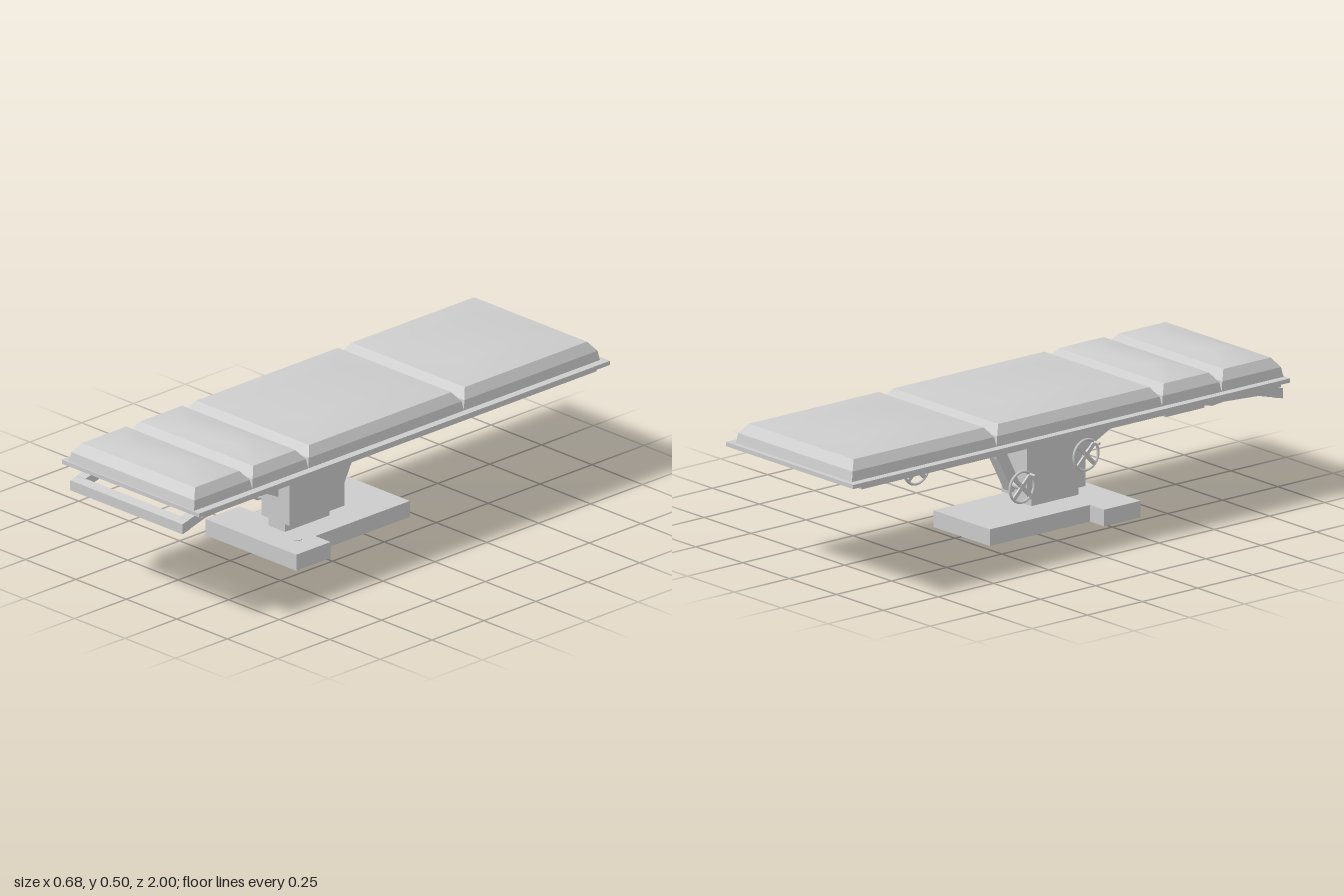
import * as THREE from 'three';
import { toCreasedNormals } from 'three/addons/utils/BufferGeometryUtils.js';

const material = new THREE.MeshStandardMaterial({ color: 0xcccccc });

export function createModel() {
  const model = new THREE.Group();

  function add(geometry, name, parent = model) {
    const mesh = new THREE.Mesh(geometry, material);
    mesh.name = name;
    parent.add(mesh);
    return mesh;
  }

  // Box given by its limits on each axis
  function box(name, x0, x1, y0, y1, z0, z1) {
    const g = new THREE.BoxGeometry(x1 - x0, y1 - y0, z1 - z0);
    g.translate((x0 + x1) / 2, (y0 + y1) / 2, (z0 + z1) / 2);
    return add(g, name);
  }

  // Side outline of [z, y] points, extruded across x
  function sideProfile(name, points, centerX, width) {
    const shape = new THREE.Shape(points.map(([z, y]) => new THREE.Vector2(z, y)));
    const g = new THREE.ExtrudeGeometry(shape, { depth: width, bevelEnabled: false });
    g.translate(0, 0, -width / 2).rotateY(-Math.PI / 2).translate(centerX, 0, 0);
    return add(g, name);
  }

  // Padded cushion: stacked rectangular loops closed by a flat top
  function cushion(name, z0, z1) {
    const crown = Math.min(0.17, (z1 - z0) * 0.36);
    const loops = [[0, 0, 0.415], [0.005, 0.007, 0.45], [0.03, 0.033, 0.484], [0.17, crown, 0.503]];
    const positions = [];
    const index = [];
    for (const [ix, iz, y] of loops) {
      const x = 0.31 - ix;
      positions.push(-x, y, z1 - iz, x, y, z1 - iz, x, y, z0 + iz, -x, y, z0 + iz);
    }
    for (let k = 0; k < loops.length - 1; k++) {
      for (let i = 0; i < 4; i++) {
        const a = k * 4 + i, b = k * 4 + (i + 1) % 4;
        index.push(a, b, b + 4, a, b + 4, a + 4);
      }
    }
    const t = (loops.length - 1) * 4;
    index.push(t, t + 1, t + 2, t, t + 2, t + 3);
    const g = new THREE.BufferGeometry();
    g.setAttribute('position', new THREE.Float32BufferAttribute(positions, 3));
    g.setIndex(index);
    add(toCreasedNormals(g, 0.4), name);
  }

  // Hand wheel facing -x, with crossed spokes, axle and optional grip
  function handWheel(name, x, y, z, axleLength, grip) {
    const wheel = new THREE.Group();
    wheel.name = name;
    wheel.position.set(x, y, z);
    const rim = new THREE.TorusGeometry(0.055, 0.005, 8, 32);
    rim.rotateY(Math.PI / 2);
    add(rim, name + 'Rim', wheel);
    for (const angle of [Math.PI / 4, -Math.PI / 4]) {
      const spoke = new THREE.BoxGeometry(0.008, 0.108, 0.014);
      spoke.rotateX(angle);
      add(spoke, name + 'Spoke', wheel);
    }
    const axle = new THREE.CylinderGeometry(0.012, 0.012, axleLength, 16);
    axle.rotateZ(Math.PI / 2).translate(axleLength / 2 - 0.005, 0, 0);
    add(axle, name + 'Axle', wheel);
    if (grip) {
      const peg = new THREE.CylinderGeometry(0.005, 0.005, 0.03, 10);
      peg.rotateZ(Math.PI / 2).translate(-0.015, 0.04, 0.035);
      add(peg, name + 'Grip', wheel);
    }
    model.add(wheel);
  }

  // Table top and cushions
  box('tableBoard', -0.34, 0.34, 0.4, 0.415, -1, 0.98);
  box('underPanel', -0.325, 0.325, 0.386, 0.4, -0.95, 0.95);
  cushion('legCushion', -0.98, -0.325);
  cushion('seatCushion', -0.325, 0.425);
  cushion('backCushion', 0.425, 0.695);
  cushion('headCushion', 0.695, 0.975);

  // T-shaped floor base
  const plan = [[-0.225, 0.4], [0.225, 0.4], [0.225, 0.235], [0.15, 0.235], [0.15, -0.22],
    [-0.15, -0.22], [-0.15, 0.235], [-0.225, 0.235]];
  const baseShape = new THREE.Shape(plan.map(([x, z]) => new THREE.Vector2(x, -z)));
  const base = new THREE.ExtrudeGeometry(baseShape, { depth: 0.06, bevelEnabled: false });
  base.rotateX(-Math.PI / 2);
  add(base, 'base');
  const pedal = new THREE.CylinderGeometry(0.017, 0.017, 0.004, 20);
  pedal.translate(0.127, 0.061, 0.3);
  add(pedal, 'footButton');

  // Lifting column with stacked plates and short posts on top
  box('columnNeck', -0.03, 0.05, 0.06, 0.095, 0.07, 0.285);
  box('column', -0.055, 0.083, 0.095, 0.33, 0.03, 0.295);
  for (let i = 0; i < 3; i++) {
    const y = 0.335 + i * 0.012;
    box('columnSpacer', -0.045, 0.073, y - 0.006, y, 0.045, 0.28);
    box('columnPlate', -0.055, 0.083, y, y + 0.007, 0.033, 0.292);
  }
  for (const z of [0.1, 0.2]) box('columnPost', -0.03, 0.045, 0.362, 0.39, z - 0.02, z + 0.02);

  // Front support arm
  sideProfile('frontArm', [[0.28, 0.18], [0.525, 0.3], [0.5, 0.335], [0.28, 0.25]], 0.01, 0.038);
  sideProfile('frontArmHead',
    [[0.525, 0.295], [0.575, 0.355], [0.565, 0.39], [0.53, 0.39], [0.495, 0.335]], 0.01, 0.068);

  // Rear support arm, ribbed joint and leg-section arm
  sideProfile('rearLowerArm', [[0.03, 0.15], [0.0, 0.12], [-0.075, 0.265], [-0.035, 0.28]], 0.01, 0.05);
  sideProfile('rearUpperArm', [[-0.03, 0.255], [-0.078, 0.255], [-0.118, 0.39], [-0.07, 0.39]], 0.01, 0.065);
  box('jointCore', -0.015, 0.035, 0.368, 0.39, -0.28, -0.1);
  for (let i = 0; i < 6; i++) {
    const z = -0.15 - i * 0.022;
    box('jointRib', -0.03, 0.05, 0.355, 0.388, z - 0.006, z + 0.006);
  }
  sideProfile('legArm', [[-0.25, 0.385], [-0.27, 0.36], [-0.48, 0.287], [-0.65, 0.342],
    [-0.65, 0.375], [-0.48, 0.318], [-0.29, 0.385]], 0.005, 0.045);
  box('legArmBlock', -0.04, 0.04, 0.337, 0.388, -0.715, -0.64);

  // Adjustment wheels
  handWheel('frontWheel', -0.063, 0.21, 0.29, 0.06, true);
  handWheel('rearWheel', -0.063, 0.15, 0.0, 0.08, true);
  handWheel('legWheel', -0.035, 0.298, -0.455, 0.04, false);

  // Head-end handle: cross bar and two mirrored side arms with brackets
  sideProfile('handleBar', [[1, 0.325], [1, 0.362], [0.965, 0.37], [0.965, 0.333]], 0, 0.556);
  for (const side of [-1, 1]) {
    const x = side * 0.257;
    sideProfile('handleArm', [[0.97, 0.333], [0.97, 0.37], [0.89, 0.39], [0.72, 0.39], [0.68, 0.378],
      [0.63, 0.39], [0.63, 0.372], [0.68, 0.36], [0.73, 0.365], [0.89, 0.355]].reverse(), x, 0.042);
    box('handleBracket', x - 0.025, x + 0.025, 0.362, 0.39, 0.465, 0.64);
  }

  return model;
}
